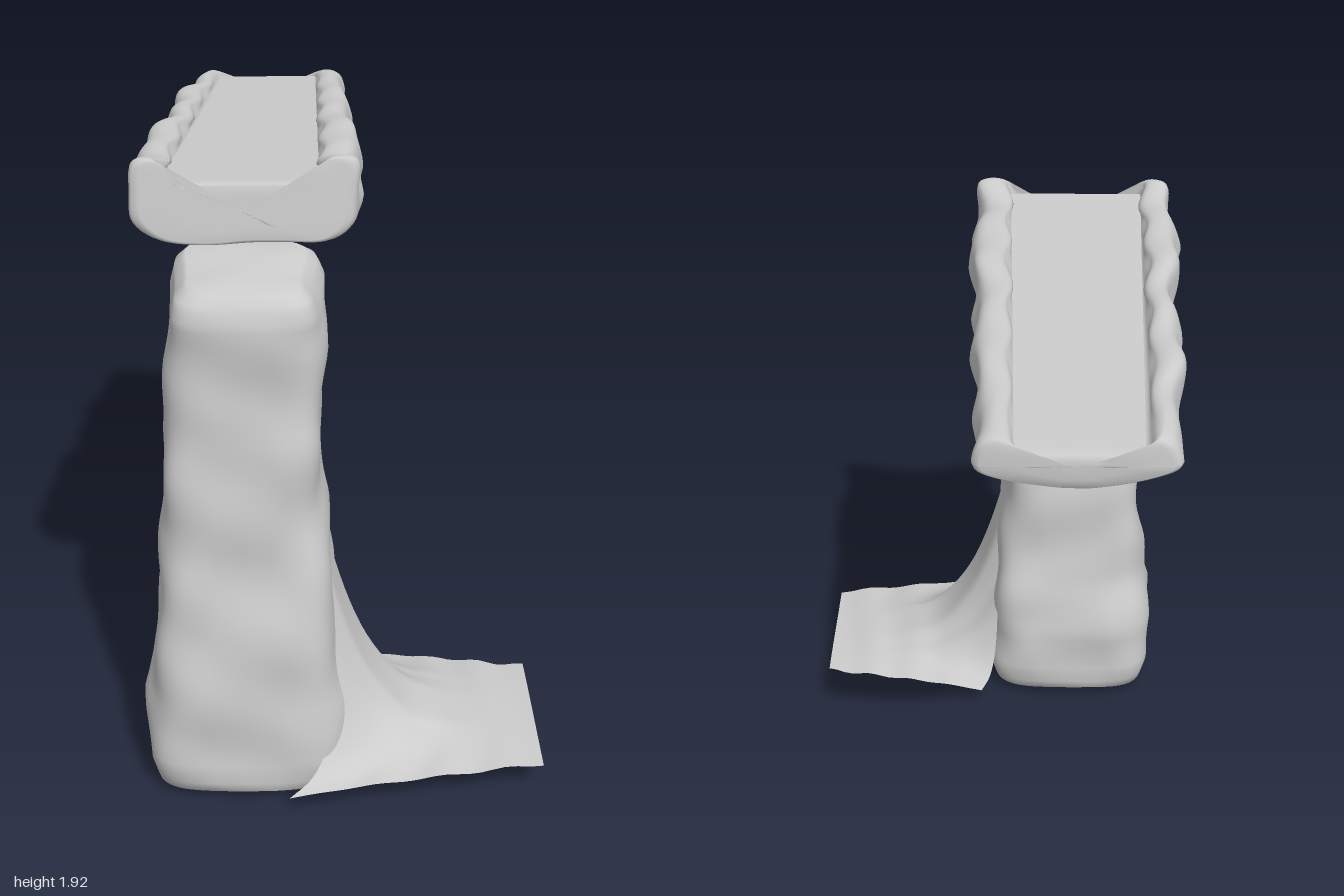
import * as THREE from 'three';

const material = new THREE.MeshStandardMaterial({ color: 0xcccccc, side: THREE.DoubleSide });

// Smooth rolling bumps for the worn stone
const bump = (x, y, z) =>
  0.5 * Math.sin(11 * x + 5 * y + 4) * Math.sin(17 * y + 9 * z) +
  0.5 * Math.sin(21 * z + 8 * x + 1) * Math.cos(13 * y - 10 * x);

// Piecewise-linear lookup in rows of [key, ...values], keys ascending
function lookup(rows, t) {
  let i = 0;
  while (i < rows.length - 2 && t > rows[i + 1][0]) i++;
  const [a, b] = [rows[i], rows[i + 1]];
  const k = THREE.MathUtils.clamp((t - a[0]) / (b[0] - a[0]), 0, 1);
  return a.map((v, n) => v + (b[n] - v) * k);
}

// Surface through rows of points; wrap joins each row into a ring
function skin(name, rows, wrap) {
  const n = rows[0].length, index = [];
  for (let i = 0; i < rows.length - 1; i++) {
    for (let j = 0; j < (wrap ? n : n - 1); j++) {
      const k = (j + 1) % n;
      const a = i * n + j, b = a + n, c = (i + 1) * n + k, d = i * n + k;
      index.push(a, b, c, a, c, d);
    }
  }
  const geometry = new THREE.BufferGeometry().setFromPoints(rows.flat());
  geometry.setIndex(index);
  geometry.computeVertexNormals();
  const mesh = new THREE.Mesh(geometry, material);
  mesh.name = name;
  return mesh;
}

// Tapering pillar: stacked rounded-square rings
function pillar() {
  // y, x min, x max, z min, z max
  const sizes = [
    [0.02, -0.54, -0.06, 0.36, 0.86], [0.05, -0.585, -0.02, 0.31, 0.91],
    [0.12, -0.6, 0, 0.295, 0.925], [0.3, -0.6, 0, 0.295, 0.915],
    [0.5, -0.57, -0.02, 0.34, 0.895], [0.8, -0.54, -0.05, 0.37, 0.85],
    [1.0, -0.53, -0.065, 0.39, 0.83], [1.2, -0.525, -0.07, 0.4, 0.81],
    [1.4, -0.5, -0.06, 0.4, 0.81], [1.55, -0.49, -0.06, 0.4, 0.805],
    [1.6, -0.475, -0.08, 0.415, 0.79], [1.63, -0.44, -0.11, 0.45, 0.755],
  ];
  const levels = [[0.02, 0], [0.02, 0.5], [0.02, 1], [0.035, 1], [0.05, 1], [0.08, 1]];
  for (let i = 0; i <= 48; i++) levels.push([0.12 + (i / 48) * 1.43, 1]);
  levels.push([1.58, 1], [1.6, 1], [1.62, 1], [1.63, 1], [1.635, 0.5], [1.635, 0]);
  const rows = levels.map(([y, scale]) => {
    const [, x0, x1, z0, z1] = lookup(sizes, y);
    return Array.from({ length: 72 }, (_, j) => {
      const a = (j / 72) * Math.PI * 2, c = Math.cos(a), s = Math.sin(a);
      const round = (v) => Math.sign(v) * Math.abs(v) ** 0.45;
      const x = (x0 + x1) / 2 + (x1 - x0) / 2 * scale * round(c);
      const z = (z0 + z1) / 2 + (z1 - z0) / 2 * scale * round(s);
      const d = 0.016 * bump(x, y, z);
      const slope = THREE.MathUtils.smoothstep(y, 1.4, 1.6) * (0.6 - z) * 0.14;
      return new THREE.Vector3(x + d * c, y + slope + d * 0.4 * scale, z + d * s);
    });
  });
  return skin('pillar', rows, true);
}

// Slab stations: z, left edge, right edge, inner left, inner right, bottom, floor, rim
const stations = [
  [-0.99, -0.49, 0.03, -0.41, -0.075, 1.675, 1.79, 1.815],
  [-0.6, -0.535, 0.03, -0.435, -0.075, 1.68, 1.813, 1.845],
  [-0.2, -0.55, 0.04, -0.455, -0.075, 1.69, 1.837, 1.875],
  [0.2, -0.585, 0.05, -0.475, -0.075, 1.705, 1.861, 1.9],
  [0.45, -0.6, 0.045, -0.485, -0.075, 1.7, 1.877, 1.91],
  [0.63, -0.6, 0.045, -0.495, -0.075, 1.705, 1.888, 1.94],
];

// Long slab with a raised rim down each side
function slab() {
  const ends = [[0.63, 0], [0.63, 0.5], [0.63, 0.88], [0.625, 0.95], [0.61, 0.985]];
  for (let i = 0; i <= 70; i++) ends.push([0.59 - (i / 70) * 1.55, 1]);
  ends.push([-0.98, 0.97], [-0.99, 0.9], [-0.995, 0.5], [-0.995, 0]);
  const rows = ends.map(([z, scale]) => {
    const [, xl, xr, il, ir, yb, yf, yr] = lookup(stations, z);
    const f = yf - 0.015, cx = (xl + xr) / 2, cy = (yb + yf) / 2, h = yr - yb;
    const outline = [
      [xl + 0.06, yb + 0.015], [xl + 0.2, yb], [cx, yb], [xr - 0.2, yb], [xr - 0.06, yb + 0.015],
      [xr, yb + h * 0.3], [xr, yb + h * 0.65], [xr - 0.015, yr - 0.015],
      [xr - 0.045, yr], [ir + 0.02, yr - 0.008], [ir, f + 0.005], [ir - 0.05, f],
      [cx, f], [il + 0.05, f], [il, f + 0.005], [il - 0.02, yr - 0.008],
      [xl + 0.045, yr], [xl + 0.015, yr - 0.015], [xl, yb + h * 0.65], [xl, yb + h * 0.3],
    ].map(([x, y]) => new THREE.Vector3(x, y, z));
    const curve = new THREE.CatmullRomCurve3(outline, true, 'centripetal');
    return Array.from({ length: 100 }, (_, j) => {
      const p = curve.getPoint(j / 100);
      const trough = p.x > il - 0.01 && p.x < ir + 0.01 && p.y > cy;
      const d = trough ? 0 : 0.02 * bump(p.x * 0.8, p.y, p.z);
      p.x = cx + (p.x - cx) * scale + d * Math.sign(p.x - cx) * Math.min(1, Math.abs(p.x - cx) * 5);
      p.y = cy + (p.y - cy) * scale + d * (p.y > cy ? 0.4 : 1);
      // Front end leans back towards its top
      if (z > 0.5) p.z += (1.8 - p.y) * 0.15 * (z - 0.5) / 0.13;
      return p;
    });
  });
  return skin('slab', rows, true);
}

// Flat panel lying between the rims
function panel() {
  const V = (x, y, z) => new THREE.Vector3(x, y, z);
  return skin('topPanel', [
    [V(-0.5, 1.888, 0.595), V(-0.07, 1.888, 0.595)],
    [V(-0.405, 1.79, -0.975), V(-0.07, 1.79, -0.975)],
  ].map((r) => r.reverse()).reverse(), false);
}

// Thin drift sweeping from the pillar's side down to the ground
function drift() {
  // Edge against the pillar, from front to back
  const edge = new THREE.CatmullRomCurve3([
    [-0.17, 0.09, 1.0], [-0.1, 0.12, 0.94], [-0.05, 0.2, 0.87], [-0.03, 0.36, 0.8],
    [-0.04, 0.5, 0.765], [-0.05, 0.7, 0.73], [-0.065, 0.79, 0.68], [-0.065, 0.795, 0.61],
    [-0.06, 0.76, 0.52], [-0.05, 0.6, 0.475], [-0.04, 0.46, 0.44], [-0.03, 0.36, 0.385],
    [-0.02, 0.2, 0.33], [0, 0.12, 0.28], [0.03, 0.09, 0.235],
  ].map((p) => new THREE.Vector3(...p)), false, 'centripetal');
  const rows = [];
  for (let i = 0; i <= 30; i++) {
    const u = (i / 30) ** 1.6;
    rows.push(Array.from({ length: 57 }, (_, j) => {
      const v = j / 56, p = edge.getPoint(v);
      const low = 0.105 + 0.025 * Math.sin(Math.PI * v) * Math.sin(Math.PI * u);
      const y = low + (p.y - 0.105) * (1 - u) ** 4.5;
      const ripple = 0.007 * Math.sin(24 * u + 3 * v) * u;
      return new THREE.Vector3(p.x + (0.605 - p.x) * u, y + ripple, p.z + (0.87 - 0.53 * v - p.z) * u);
    }));
  }
  return skin('groundDrift', rows, false);
}

export function createModel() {
  const group = new THREE.Group();
  group.name = 'stonePillarWithSlab';
  group.add(pillar(), slab(), panel(), drift());
  return group;
}
